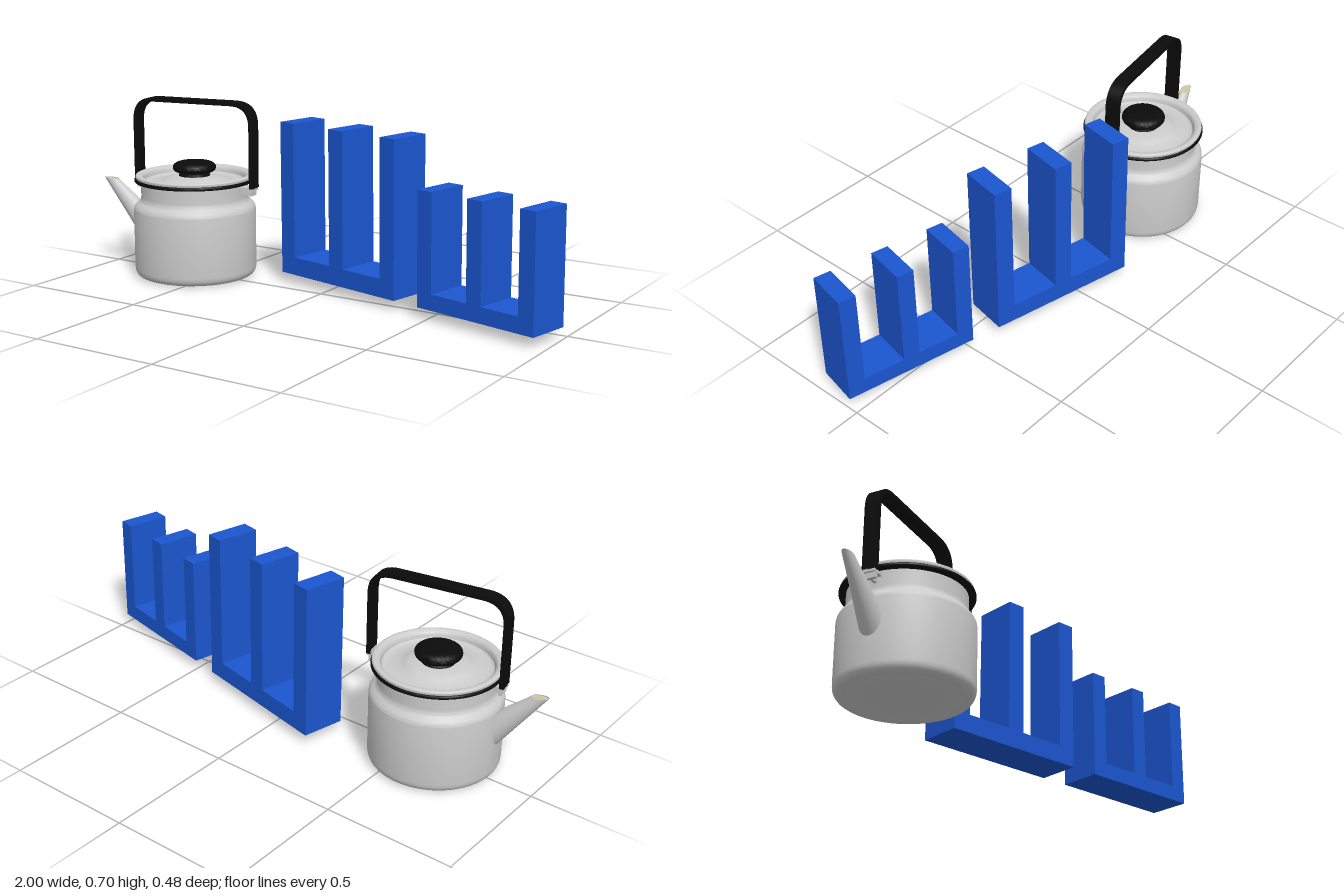
import * as THREE from 'three';
import { toCreasedNormals } from 'three/addons/utils/BufferGeometryUtils.js';

const material = (color, side = THREE.FrontSide) =>
  new THREE.MeshStandardMaterial({ color, side });
const enamel = material(0xcccccc, THREE.DoubleSide);
const black = material(0x0b0b0b, THREE.DoubleSide);
const blue = material(0x1b56d0);
const cream = material(0xcfc8a0, THREE.DoubleSide);

function add(parent, name, geometry, mat) {
  const mesh = new THREE.Mesh(geometry, mat);
  mesh.name = name;
  parent.add(mesh);
  return mesh;
}

// Revolved part; a step of four numbers is a curve (control point, end point)
function turned(steps) {
  const path = new THREE.Path();
  steps.forEach((s, i) => {
    if (i === 0) path.moveTo(...s);
    else if (s.length === 4) path.quadraticCurveTo(...s);
    else path.lineTo(...s);
  });
  return toCreasedNormals(new THREE.LatheGeometry(path.getPoints(6), 64), 0.6);
}

// Three-pronged comb block with a flat base
function comb(name, length, height, floor, prong, depth) {
  const h = length / 2, m = prong / 2;
  const outline = [
    [-h, 0], [h, 0], [h, height], [h - prong, height], [h - prong, floor],
    [m, floor], [m, height], [-m, height], [-m, floor],
    [-h + prong, floor], [-h + prong, height], [-h, height],
  ].map(p => new THREE.Vector2(...p));
  const geometry = new THREE.ExtrudeGeometry(new THREE.Shape(outline), { depth, bevelEnabled: false });
  geometry.translate(0, 0, -depth / 2);
  const mesh = new THREE.Mesh(geometry, blue);
  mesh.name = name;
  mesh.rotation.set(0.012, -0.223, 0, 'YXZ');
  return mesh;
}

// Tapering spout: oval rings between an upper and a lower edge line
function spoutRing(t, segments) {
  const upper = [-0.19 - 0.158 * t, 0.215 + 0.14 * t + 0.012 * Math.sin(Math.PI * t) * (1 - t)];
  const lower = [-0.19 - 0.222 * t, 0.06 + 0.302 * t];
  const halfWidth = 0.052 - 0.034 * t;
  const ring = [];
  for (let i = 0; i <= segments; i++) {
    const a = (i / segments) * Math.PI * 2, c = Math.cos(a);
    ring.push(
      (upper[0] + lower[0]) / 2 + c * (upper[0] - lower[0]) / 2,
      (upper[1] + lower[1]) / 2 + c * (upper[1] - lower[1]) / 2,
      Math.sin(a) * halfWidth);
  }
  return ring;
}

function spoutGeometry() {
  const segments = 28, rings = 10, positions = [], index = [];
  for (let j = 0; j <= rings; j++) positions.push(...spoutRing(j / rings, segments));
  for (let j = 0; j < rings; j++)
    for (let i = 0; i < segments; i++) {
      const a = j * (segments + 1) + i, b = a + segments + 1;
      index.push(a, a + 1, b, a + 1, b + 1, b);
    }
  const geometry = new THREE.BufferGeometry();
  geometry.setAttribute('position', new THREE.Float32BufferAttribute(positions, 3));
  geometry.setIndex(index);
  geometry.computeVertexNormals();
  return geometry;
}

// Oval surface just inside the spout mouth
function mouthGeometry() {
  const segments = 28, ring = spoutRing(0.985, segments), index = [];
  for (let i = 1; i < segments - 1; i++) index.push(0, i + 1, i);
  const geometry = new THREE.BufferGeometry();
  geometry.setAttribute('position', new THREE.Float32BufferAttribute(ring, 3));
  geometry.setIndex(index);
  geometry.computeVertexNormals();
  return geometry;
}

// Flat strap bent into a rounded arch
function strapGeometry(half, bottom, top, radius, thickness, width) {
  const s = new THREE.Shape(), t = thickness, r = radius - t;
  s.moveTo(half, bottom);
  s.lineTo(half, top - radius);
  s.quadraticCurveTo(half, top, half - radius, top);
  s.lineTo(-half + radius, top);
  s.quadraticCurveTo(-half, top, -half, top - radius);
  s.lineTo(-half, bottom);
  s.lineTo(-half + t, bottom);
  s.lineTo(-half + t, top - radius);
  s.quadraticCurveTo(-half + t, top - t, -half + t + r, top - t);
  s.lineTo(half - t - r, top - t);
  s.quadraticCurveTo(half - t, top - t, half - t, top - radius);
  s.lineTo(half - t, bottom);
  const geometry = new THREE.ExtrudeGeometry(s, { depth: width, bevelEnabled: false, curveSegments: 12 });
  geometry.translate(0, 0, -width / 2);
  return toCreasedNormals(geometry, 0.6);
}

function kettle() {
  const group = new THREE.Group();
  group.name = 'kettle';

  // Pot with rounded foot, shoulder and neck
  add(group, 'body', turned([
    [0, 0.006], [0.19, 0.004], [0.2, 0], [0.205, 0], [0.24, 0, 0.241, 0.035],
    [0.241, 0.262], [0.241, 0.28, 0.226, 0.292], [0.211, 0.302, 0.211, 0.322], [0.211, 0.385],
  ]), enamel);
  add(group, 'rim', turned([
    [0.205, 0.378], [0.228, 0.376], [0.237, 0.377, 0.237, 0.383],
    [0.237, 0.39, 0.228, 0.391], [0.205, 0.391],
  ]), black);

  // Dished lid with raised centre
  add(group, 'lid', turned([
    [0.205, 0.388], [0.23, 0.39], [0.235, 0.397, 0.23, 0.403],
    [0.222, 0.408, 0.212, 0.403], [0.2, 0.398, 0.198, 0.378],
    [0.192, 0.37, 0.17, 0.372], [0.135, 0.375, 0.115, 0.388], [0.09, 0.4, 0, 0.4],
  ]), enamel);
  add(group, 'lidKnob', turned([
    [0, 0.39], [0.062, 0.39], [0.066, 0.4, 0.052, 0.408], [0.062, 0.41],
    [0.085, 0.415, 0.085, 0.43], [0.085, 0.446, 0.06, 0.452], [0.035, 0.456, 0, 0.456],
  ]), black);

  // Spout, handle and lugs share one slightly turned axis
  const fittings = new THREE.Group();
  fittings.name = 'fittings';
  fittings.rotation.y = 0.165;
  group.add(fittings);
  add(fittings, 'spout', spoutGeometry(), enamel);
  add(fittings, 'spoutMouth', mouthGeometry(), cream);
  add(fittings, 'handle', strapGeometry(0.262, 0.365, 0.7, 0.095, 0.016, 0.055), black).position.x = 0.006;
  for (const side of [-1, 1]) {
    const lug = new THREE.Group();
    lug.name = side > 0 ? 'leftLug' : 'rightLug';
    add(lug, 'arm', new THREE.BoxGeometry(0.06, 0.012, 0.045), enamel).position.set(side * 0.232, 0.362, 0);
    add(lug, 'plate', new THREE.BoxGeometry(0.012, 0.045, 0.045), enamel).position.set(side * 0.249, 0.358, 0);
    add(lug, 'brace', new THREE.BoxGeometry(0.05, 0.03, 0.01), enamel).position.set(side * 0.23, 0.35, 0);
    lug.position.x = 0.006;
    fittings.add(lug);
  }
  return group;
}

export function createModel() {
  const model = new THREE.Group();
  model.name = 'kettleAndCombs';

  const pot = kettle();
  pot.position.x = -0.594;
  model.add(pot);

  const tall = comb('tallComb', 0.59, 0.592, 0.07, 0.071, 0.167);
  tall.position.set(0.08, 0.04, -0.09);
  const short = comb('shortComb', 0.513, 0.428, 0.06, 0.065, 0.167);
  short.position.set(0.728, 0.04, 0.058);
  model.add(tall, short);
  return model;
}
